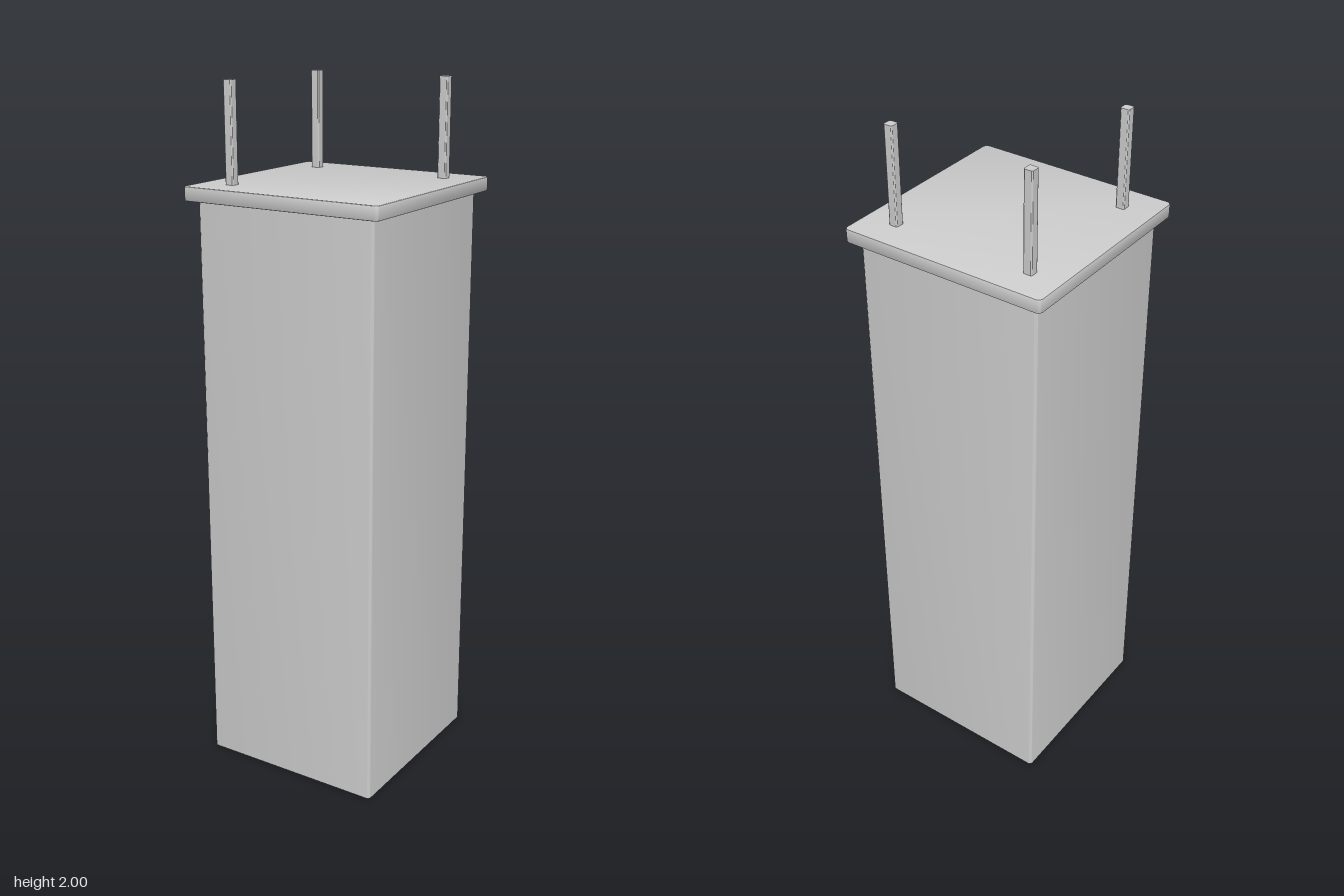
import * as THREE from 'three';
import { toCreasedNormals } from 'three/addons/utils/BufferGeometryUtils.js';

const material = new THREE.MeshStandardMaterial({ color: 0xcccccc });

// Square outline with rounded corners, centred on the origin
function roundedSquare(width, radius) {
  const h = width / 2, k = h - radius;
  const shape = new THREE.Shape();
  shape.absarc(k, k, radius, 0, Math.PI / 2);
  shape.absarc(-k, k, radius, Math.PI / 2, Math.PI);
  shape.absarc(-k, -k, radius, Math.PI, Math.PI * 1.5);
  shape.absarc(k, -k, radius, Math.PI * 1.5, Math.PI * 2);
  shape.closePath();
  return shape;
}

// Upright square prism from y0 to y1 with softened edges
function prism(name, width, y0, y1, radius, bevel) {
  const geometry = new THREE.ExtrudeGeometry(roundedSquare(width, radius), {
    depth: y1 - y0 - 2 * bevel,
    curveSegments: 4,
    bevelEnabled: bevel > 0,
    bevelSize: bevel,
    bevelThickness: bevel,
    bevelOffset: -bevel,
    bevelSegments: 2,
  });
  geometry.rotateX(-Math.PI / 2);
  geometry.translate(0, y0 + bevel, 0);
  const mesh = new THREE.Mesh(toCreasedNormals(geometry, Math.PI / 5), material);
  mesh.name = name;
  return mesh;
}

export function createModel() {
  const group = new THREE.Group();
  group.name = 'pillar';

  // Column and the slab that caps it
  group.add(prism('column', 0.556, 0, 1.685, 0.01, 0));
  group.add(prism('capSlab', 0.614, 1.682, 1.722, 0.015, 0.004));

  // Reinforcing rods at three of the four corners
  const rodSpots = { backRightRod: [-0.211, -0.211], backLeftRod: [0.211, -0.211], frontRightRod: [-0.211, 0.211] };
  for (const [name, [x, z]] of Object.entries(rodSpots)) {
    const rod = prism(name, 0.027, 1.7, 2, 0.005, 0);
    rod.position.set(x, 0, z);
    group.add(rod);
  }
  return group;
}
